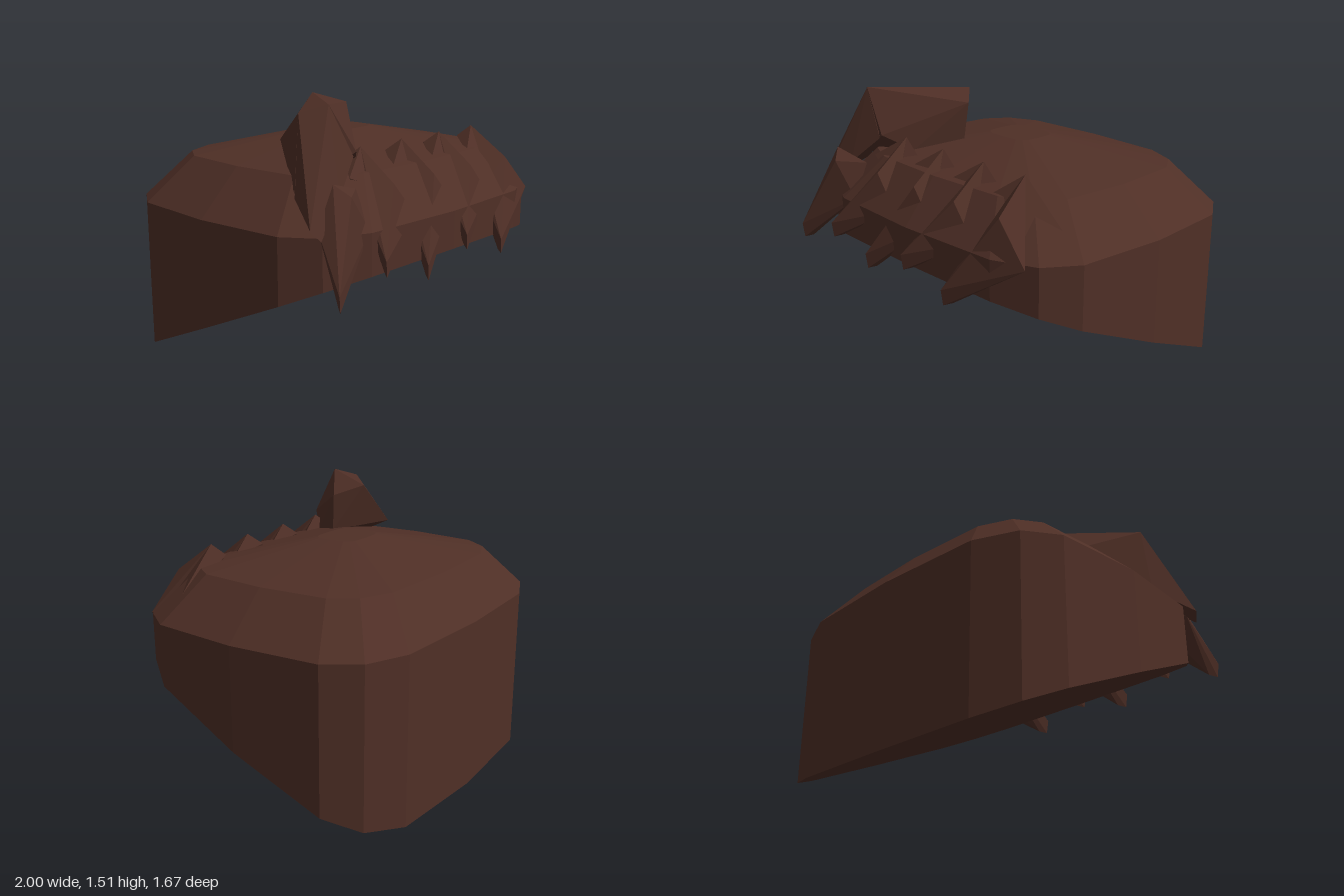
import * as THREE from 'three';
import { ConvexGeometry } from 'three/addons/geometries/ConvexGeometry.js';

const hair = new THREE.MeshStandardMaterial({ color: 0x4f2f26 });
hair.name = 'dark brown hair';
hair.flatShading = true;

const CZ = -0.035; // centre of the cap outline

// Squared-off outline, clockwise seen from above, relative to CZ
function capOutline() {
  const quarter = [[0, 0.805], [0.61, 0.775], [0.84, 0.675], [0.96, 0.5], [1, 0]];
  const pts = quarter.map(([x, z]) => [x, -z]);
  for (let i = 3; i >= 0; i--) pts.push(quarter[i]);
  for (let i = 1; i <= 4; i++) pts.push([-quarter[i][0], quarter[i][1]]);
  for (let i = 3; i >= 1; i--) pts.push([-quarter[i][0], -quarter[i][1]]);
  return pts;
}

// Cap: slanted hem, upright wall, two bevelled crown bands, flat top
function makeCap() {
  const outline = capOutline();
  const n = outline.length;
  const hem = (z) => 0.005 + (z + 0.84) * 0.452;
  const rings = [[1, null], [1, 0.935], [0.76, 1.17], [0.155, 1.29]];
  const pos = [];
  for (const [s, y] of rings) {
    for (const [x, z] of outline) pos.push(x * s, y ?? hem(z + CZ), z * s + CZ);
  }
  const under = pos.length / 3;
  pos.push(0, hem(CZ), CZ, 0, 1.29, CZ);
  const index = [];
  for (let i = 0; i < n; i++) {
    const j = (i + 1) % n;
    for (let r = 0; r < rings.length - 1; r++) {
      const a = r * n + i, b = r * n + j, c = b + n, d = a + n;
      index.push(a, d, c, a, c, b);
    }
    const top = (rings.length - 1) * n;
    index.push(under, i, j, under + 1, top + j, top + i);
  }
  const g = new THREE.BufferGeometry();
  g.setAttribute('position', new THREE.Float32BufferAttribute(pos, 3));
  g.setIndex(index);
  const flat = g.toNonIndexed();
  flat.computeVertexNormals();
  return flat;
}

function hull(name, points, dx = 0) {
  const g = new ConvexGeometry(points.map(([x, y, z]) => new THREE.Vector3(x + dx, y, z)));
  const mesh = new THREE.Mesh(g, hair);
  mesh.name = name;
  return mesh;
}

// Fringe lock: kite-shaped blade with a blunt tip, plus a small wing at its root
function makeLock(x, tipY, shape) {
  const lock = new THREE.Group();
  lock.name = 'fringeLock';
  const tip = [[-0.01, tipY + 0.08, 0.83], [0, tipY, 0.825], [0.03, tipY + 0.01, 0.785]];
  lock.add(hull('lockBlade', [...tip, ...shape.blade], x));
  if (shape.wing) lock.add(hull('lockWing', shape.wing, x));
  return lock;
}

// Points are x from the tip, then y and z
const endLock = {
  blade: [[0.14, 1.18, 0.65], [0.35, 1.12, 0.6], [0.35, 0.93, 0.69], [0.05, 0.98, 0.64],
    [0.2, 1.12, 0.71], [0.2, 0.95, 0.58]],
};
const midLock = {
  blade: [[0.22, 1.28, 0.46], [0.16, 1.2, 0.42], [0.38, 0.95, 0.68], [0.1, 1.0, 0.64],
    [0.23, 1.12, 0.67], [0.25, 0.95, 0.56]],
  wing: [[0.22, 1.28, 0.46], [0.16, 1.22, 0.4], [0.34, 1.17, 0.46], [0.24, 1.08, 0.6],
    [0.04, 1.16, 0.55], [0.2, 1.08, 0.45]],
};
const wideLock = {
  blade: [[0.2, 1.28, 0.46], [0.15, 1.2, 0.42], [0.44, 0.92, 0.69], [0.09, 1.0, 0.65],
    [0.24, 1.12, 0.67], [0.28, 0.94, 0.56]],
  wing: [[0.2, 1.28, 0.46], [0.15, 1.22, 0.4], [0.52, 0.99, 0.45], [0.3, 1.05, 0.62],
    [0.04, 1.16, 0.55]],
};

export function createModel() {
  const model = new THREE.Group();
  model.name = 'hair';

  const cap = new THREE.Mesh(makeCap(), hair);
  cap.name = 'hairCap';
  model.add(cap);

  // Row of fringe locks, tips alternating in height
  const shapes = [endLock, midLock, midLock, midLock, wideLock];
  shapes.forEach((shape, i) => {
    model.add(makeLock(-0.92 + i * 0.32, i % 2 ? 0.73 : 0.64, shape));
  });

  // Large raised tuft swept over the right side
  model.add(hull('tuft', [
    [-0.66, 1.52, 0.51], [-0.76, 1.48, 0.41], [-0.31, 1.51, 0.06], [-0.18, 1.46, 0.18],
    [-0.2, 1.25, 0.2], [-0.5, 1.28, 0.01], [-0.37, 1.2, 0.42], [-0.5, 1.28, 0.54],
    [-0.8, 1.1, 0.42],
  ]));
  model.add(hull('tuftTip', [
    [-0.66, 1.52, 0.51], [-0.76, 1.48, 0.41], [-0.93, 0.99, 0.65], [-0.9, 0.94, 0.69],
    [-0.52, 1.26, 0.54], [-0.8, 1.08, 0.42], [-0.7, 1.1, 0.62],
  ]));
  return model;
}
